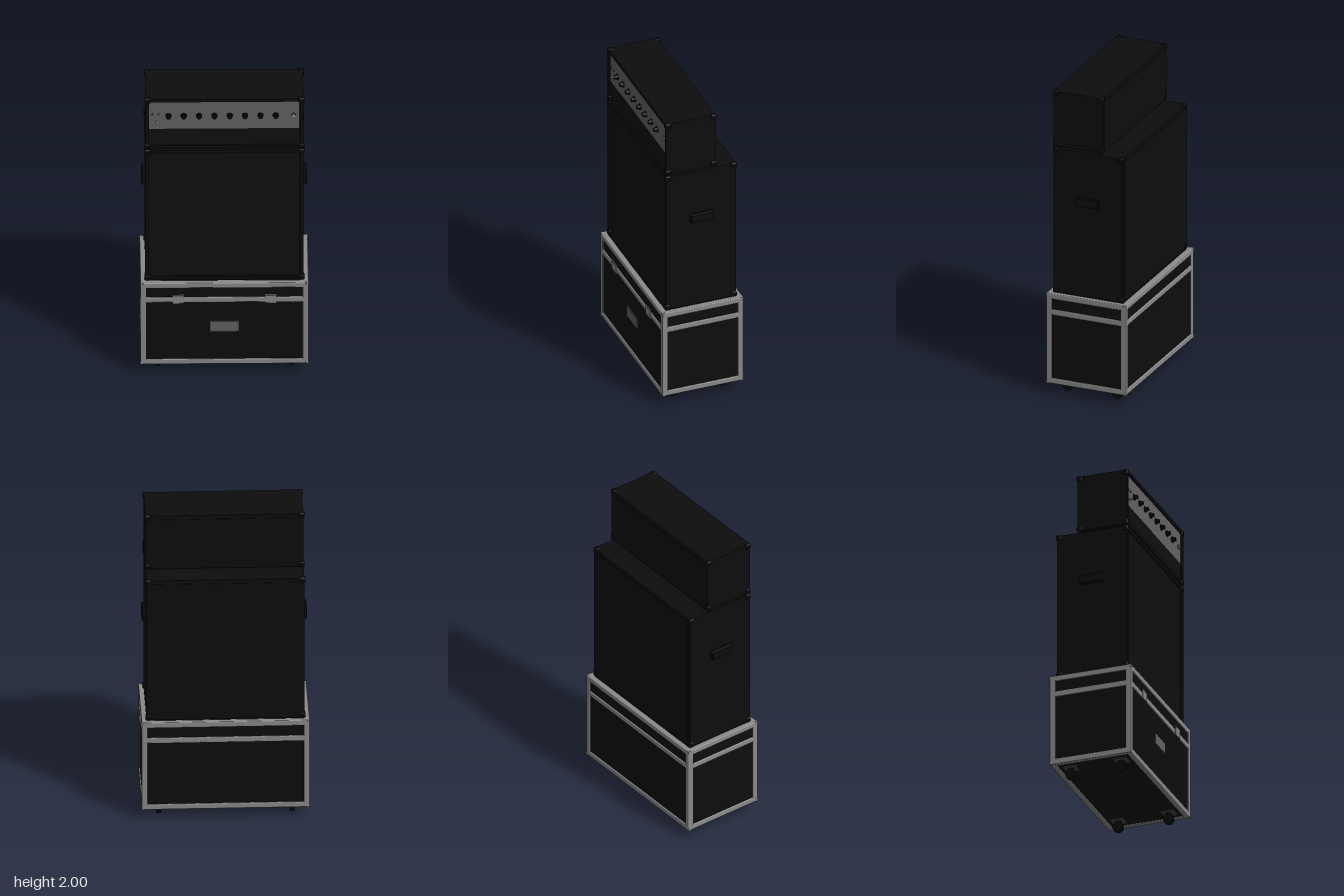
import * as THREE from 'three';
import { RoundedBoxGeometry } from 'three/addons/geometries/RoundedBoxGeometry.js';

export function createModel() {
  const root = new THREE.Group();
  root.name = 'ampStackOnCase';
  const mat = (name, color) => Object.assign(new THREE.MeshStandardMaterial({ color }), { name });
  const black = mat('black covering', 0x0d0d0d);
  const cloth = mat('grille cloth', 0x0f0f0f);
  const rubber = mat('black plastic', 0x080808);
  const metal = mat('aluminium trim', 0x8a8a8a);
  const panelGrey = mat('panel grey', 0x636363);
  const darkMetal = mat('dark metal', 0x484848);
  const silver = mat('silver', 0xa0a0a0);

  const add = (parent, name, geometry, material, x = 0, y = 0, z = 0) => {
    const m = new THREE.Mesh(geometry, material);
    m.name = name;
    m.position.set(x, y, z);
    parent.add(m);
    return m;
  };
  const box = (parent, name, material, w, h, d, x, y, z) =>
    add(parent, name, new THREE.BoxGeometry(w, h, d), material, x, y, z);
  const rbox = (parent, name, material, w, h, d, x, y, z, r = 0.006) =>
    add(parent, name, new RoundedBoxGeometry(w, h, d, 2, r), material, x, y, z);
  // short cylinder pointing forward
  const disc = (parent, name, material, r, len, x, y, z, r2 = r) => {
    const g = new THREE.CylinderGeometry(r2, r, len, 20).rotateX(Math.PI / 2);
    return add(parent, name, g, material, x, y, z);
  };
  const group = (name) => {
    const g = new THREE.Group();
    g.name = name;
    root.add(g);
    return g;
  };

  // ---- Flight case ----
  const flight = group('flightCase');
  const X = 0.514, Z = 0.267, Y0 = 0.07, Y1 = 0.665, T = 0.036;
  const midY = (Y0 + Y1) / 2;
  box(flight, 'casePanels', black, 2 * X - 0.016, Y1 - Y0 - 0.014, 2 * Z - 0.016, 0, midY, 0);
  for (const sx of [-1, 1]) for (const sz of [-1, 1]) {
    rbox(flight, 'uprightTrim', metal, T, Y1 - Y0, T, sx * (X - T / 2), midY, sz * (Z - T / 2));
  }
  for (const [y, h, name] of [[Y0 + T / 2, T, 'bottomTrim'], [Y1 - T / 2, T, 'topTrim'], [0.542, 0.036, 'lidTrim']]) {
    for (const s of [-1, 1]) {
      rbox(flight, name, metal, 2 * X, h, T, 0, y, s * (Z - T / 2));
      rbox(flight, name, metal, T, h, 2 * Z, s * (X - T / 2), y, 0);
    }
  }
  for (const sx of [-1, 1]) for (const sz of [-1, 1]) for (const y of [Y0 + 0.009, Y1 - 0.009]) {
    rbox(flight, 'cornerCap', metal, 0.02, 0.02, 0.02, sx * (X - 0.009), y, sz * (Z - 0.009), 0.004);
  }
  // latches and recessed handle dish
  for (const s of [-1, 1]) {
    box(flight, 'latchPlate', metal, 0.072, 0.064, 0.006, s * 0.283, 0.548, Z + 0.001);
    box(flight, 'latchEdge', darkMetal, 0.072, 0.005, 0.007, s * 0.283, 0.519, Z + 0.001);
    box(flight, 'latchTongue', darkMetal, 0.06, 0.006, 0.007, s * 0.283, 0.575, Z + 0.001);
  }
  box(flight, 'handleRim', darkMetal, 0.176, 0.076, 0.008, 0, 0.347, Z - 0.006);
  box(flight, 'handleDish', panelGrey, 0.162, 0.062, 0.008, 0, 0.347, Z - 0.004);
  // casters
  for (const sx of [-1, 1]) for (const sz of [-1, 1]) {
    const caster = new THREE.Group();
    caster.name = 'caster';
    caster.position.set(sx * 0.408, 0, sz * 0.165);
    flight.add(caster);
    const wheel = new THREE.CylinderGeometry(0.033, 0.033, 0.028, 24).rotateZ(Math.PI / 2);
    add(caster, 'wheel', wheel, rubber, 0, 0.033, 0);
    box(caster, 'casterPlate', darkMetal, 0.085, 0.006, 0.085, 0, 0.074, 0);
    box(caster, 'casterFork', rubber, 0.026, 0.03, 0.036, 0, 0.058, 0);
  }

  // ---- Wooden box with an open front rim and corner protectors ----
  const cabinetShell = (parent, y0, y1, zBack, zFront, rim) => {
    const hx = 0.483, depth = 0.02, h = y1 - y0, cy = (y0 + y1) / 2;
    box(parent, 'body', black, hx * 2, h, zFront - depth - zBack, 0, cy, (zFront - depth + zBack) / 2);
    const s = new THREE.Shape();
    s.moveTo(-hx, y0).lineTo(hx, y0).lineTo(hx, y1).lineTo(-hx, y1).closePath();
    const hole = new THREE.Path();
    hole.moveTo(-hx + rim, y0 + rim).lineTo(-hx + rim, y1 - rim)
      .lineTo(hx - rim, y1 - rim).lineTo(hx - rim, y0 + rim).closePath();
    s.holes.push(hole);
    const g = new THREE.ExtrudeGeometry(s, { depth, bevelEnabled: false });
    add(parent, 'frontRim', g, black, 0, 0, zFront - depth);
    box(parent, 'backPanel', black, hx * 2 - 0.05, h - 0.05, 0.004, 0, cy, zBack - 0.001);
    const c = 0.036;
    for (const sx of [-1, 1]) for (const y of [y0 + c / 2 - 0.004, y1 - c / 2 + 0.004]) {
      for (const z of [zBack + c / 2 - 0.004, zFront - c / 2 + 0.004]) {
        rbox(parent, 'cornerProtector', rubber, c, c, c, sx * (hx + 0.006 - c / 2), y, z, 0.008);
      }
    }
  };

  // ---- Speaker cabinet ----
  const cab = group('speakerCabinet');
  cabinetShell(cab, 0.668, 1.618, -0.23, 0.231, 0.022);
  box(cab, 'grille', cloth, 0.92, 0.905, 0.01, 0, 1.143, 0.214);
  // side handles
  for (const s of [-1, 1]) {
    rbox(cab, 'sideHandle', rubber, 0.03, 0.058, 0.15, s * 0.49, 1.293, 0, 0.005);
    box(cab, 'handleGrip', black, 0.004, 0.036, 0.124, s * 0.504, 1.293, 0);
  }

  // ---- Amplifier head ----
  const head = group('amplifierHead');
  cabinetShell(head, 1.632, 1.994, -0.096, 0.231, 0.022);
  box(head, 'lowerGrille', cloth, 0.92, 0.12, 0.012, 0, 1.712, 0.215);
  box(head, 'controlPanel', panelGrey, 0.922, 0.2, 0.01, -0.002, 1.869, 0.216);
  for (const sx of [-1, 1]) for (const z of [-0.06, 0.19]) {
    const foot = new THREE.CylinderGeometry(0.016, 0.016, 0.016, 16);
    add(head, 'foot', foot, rubber, sx * 0.43, 1.625, z);
  }
  // row of knobs
  for (let i = 0; i < 8; i++) {
    const x = -0.342 + i * 0.0937;
    disc(head, 'knobSkirt', rubber, 0.019, 0.006, x, 1.867, 0.224);
    disc(head, 'knob', rubber, 0.015, 0.02, x, 1.867, 0.235, 0.013);
  }
  // inputs, switch and pilot lamp
  for (const x of [-0.44, -0.402]) disc(head, 'inputJack', darkMetal, 0.007, 0.006, x, 1.877, 0.223);
  disc(head, 'switchCollar', silver, 0.011, 0.006, -0.416, 1.822, 0.223);
  disc(head, 'switchLever', silver, 0.005, 0.016, -0.416, 1.822, 0.232);
  disc(head, 'lampRing', darkMetal, 0.015, 0.006, 0.424, 1.867, 0.223);
  disc(head, 'pilotLamp', silver, 0.01, 0.008, 0.424, 1.867, 0.226);

  return root;
}
